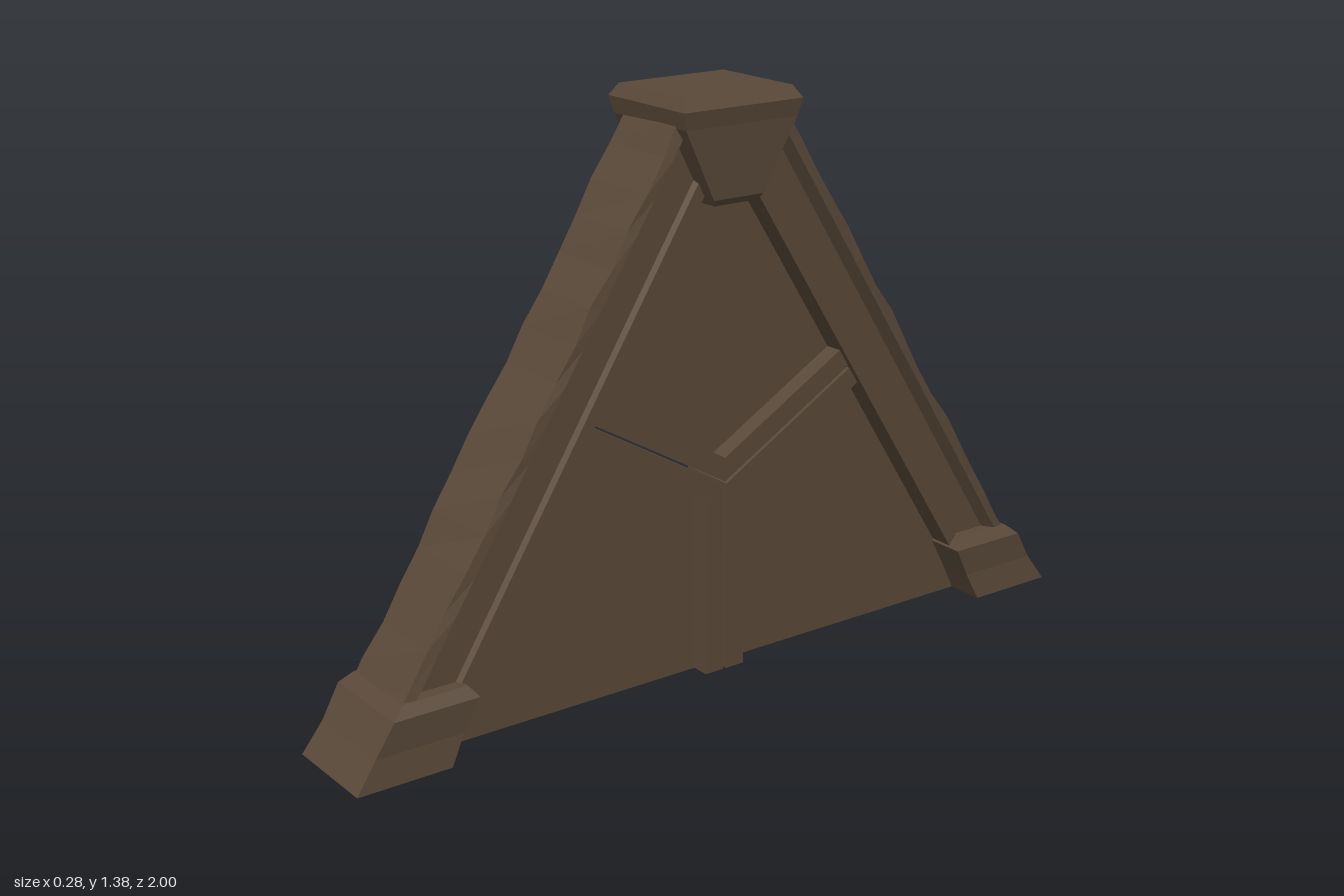
import * as THREE from 'three';

// small seeded generator for the worn timber edges
function seeded(seed) {
  let s = seed;
  return () => {
    s = (s * 16807) % 2147483647;
    return (s / 2147483647) * 2 - 1;
  };
}

// faceted skin over a list of rings, each counter-clockwise about the path
function loft(rings, capped = true) {
  const out = [];
  const n = rings[0].length;
  const tri = (...pts) => pts.forEach((p) => out.push(...p));
  for (let i = 0; i < rings.length - 1; i++) {
    for (let j = 0; j < n; j++) {
      const k = (j + 1) % n;
      const a = rings[i][j], b = rings[i][k], c = rings[i + 1][k], d = rings[i + 1][j];
      tri(a, b, c);
      tri(a, c, d);
    }
  }
  if (capped) {
    const bottom = rings[0], top = rings[rings.length - 1];
    for (let j = 1; j < n - 1; j++) {
      tri(bottom[0], bottom[j + 1], bottom[j]);
      tri(top[0], top[j], top[j + 1]);
    }
  }
  const g = new THREE.BufferGeometry();
  g.setAttribute('position', new THREE.Float32BufferAttribute(out, 3));
  g.computeVertexNormals();
  return g;
}

// rectangular ring at height y, from z0 (inner) to z1 (outer)
const rect = (y, w, z0, z1) => [[w, y, z1], [w, y, z0], [-w, y, z0], [-w, y, z1]];

// board cut from a (z, y) outline, centred on x = 0
function board(points, halfWidth) {
  const shape = new THREE.Shape(points.map(([z, y]) => new THREE.Vector2(z, y)));
  const g = new THREE.ExtrudeGeometry(shape, { depth: halfWidth * 2, bevelEnabled: false });
  g.translate(0, 0, -halfWidth);
  g.rotateY(-Math.PI / 2);
  return g;
}

// sloping beam with a channel in both sides and worn outer corners
function beamGeometry(seed) {
  const rnd = seeded(seed);
  const half = [[0.105, 0], [0.105, 0.025], [0.075, 0.04], [0.075, 0.12], [0.09, 0.125], [0.09, 0.155]];
  const section = [...half, ...half.slice().reverse().map(([x, o]) => [-x, o])];
  const rings = [];
  const steps = 16;
  for (let i = 0; i <= steps; i++) {
    const t = i / steps;
    const z = 0.9 - 0.76 * t;
    const y = 0.12 + 1.21 * t;
    rings.push(section.map(([x, o]) => {
      const edge = o < 0.01;
      const px = x + (edge ? -Math.sign(x) * Math.abs(rnd()) * 0.008 : 0);
      const po = o + (edge ? rnd() * 0.006 : 0);
      return [px, y - 0.532 * po, z - 0.847 * po];
    }));
  }
  return loft(rings);
}

export function createModel() {
  const model = new THREE.Group();
  const wood = new THREE.MeshStandardMaterial({ color: 0x5a4939, side: THREE.DoubleSide });
  wood.name = 'darkWood';

  const add = (name, geometry, parent = model) => {
    const mesh = new THREE.Mesh(geometry, wood);
    mesh.name = name;
    parent.add(mesh);
    return mesh;
  };

  // beam and flared foot, on the front and back
  ['front', 'back'].forEach((end, i) => {
    const side = new THREE.Group();
    side.name = end + 'Support';
    side.rotation.y = i * Math.PI;
    add(end + 'Beam', beamGeometry(71 + i * 400), side);
    add(end + 'Foot', loft([
      rect(0, 0.125, 0.77, 1.0),
      rect(0.07, 0.119, 0.735, 0.95),
      rect(0.145, 0.125, 0.695, 0.905),
      rect(0.17, 0.106, 0.715, 0.875),
    ]), side);
    model.add(side);
  });

  // tapered capstone block at the peak
  add('peakBlock', loft([
    rect(1.13, 0.112, -0.06, 0.06),
    rect(1.145, 0.122, -0.068, 0.068),
    rect(1.31, 0.135, -0.152, 0.152),
    rect(1.35, 0.142, -0.162, 0.162),
    rect(1.378, 0.125, -0.145, 0.145),
  ]));

  // three infill panels parted by a narrow Y-shaped gap, with raised borders
  const gap = 0.004;
  const arm = (z, shift) => 0.465 + 0.58 * z + shift;
  add('upperPanel', board([
    [0, arm(0, gap)], [0.43, arm(0.43, gap)], [0, 1.25], [-0.43, arm(0.43, gap)],
  ], 0.03));
  add('upperBorder', board([
    [0, arm(0, gap)], [0.4, arm(0.4, gap)], [0.365, arm(0.365, 0.062)],
    [0, arm(0, 0.062)], [-0.365, arm(0.365, 0.062)], [-0.4, arm(0.4, gap)],
  ], 0.075));

  for (const s of [1, -1]) {
    const name = s > 0 ? 'front' : 'back';
    const flip = (pts) => pts.map(([z, y]) => [z * s, y]);
    add(name + 'LowerPanel', board(flip([
      [gap, 0], [0.82, 0], [0.43, arm(0.43, -gap)], [gap, arm(gap, -gap)],
    ]), 0.03));
    add(name + 'LowerBorder', board(flip([
      [gap, 0], [0.055, 0], [0.055, arm(0.055, -0.06)], [0.425, arm(0.425, -0.06)],
      [0.4, arm(0.4, -gap)], [gap, arm(gap, -gap)],
    ]), 0.075));
  }
  return model;
}
